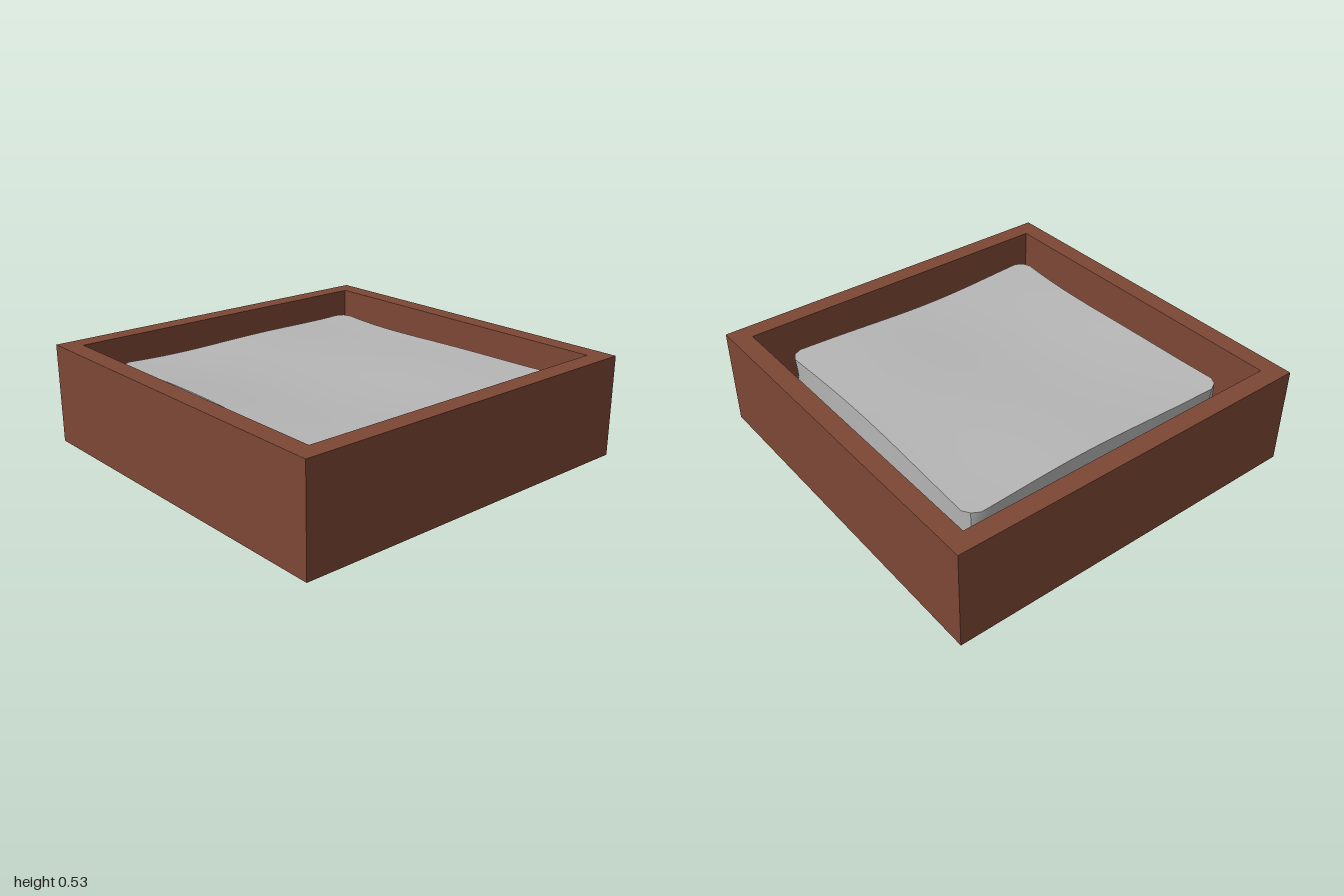
import * as THREE from 'three';

const wood = new THREE.MeshStandardMaterial({ color: 0x7d4735 });
wood.name = 'brown wood';
const cloth = new THREE.MeshStandardMaterial({ color: 0xb6b6b6 });
cloth.name = 'grey cloth';

const HEIGHT = 0.53, INNER = 0.9, FLOOR = 0.1;
const CUSHION = 0.75, CUSHION_TOP = 0.43;

function square(half, Type) {
  return new Type([[-1, -1], [1, -1], [1, 1], [-1, 1]].map(
    ([x, y]) => new THREE.Vector2(x * half, y * half)));
}

// Square frame with an opening, standing on the ground
function makeWalls() {
  const shape = square(1, THREE.Shape);
  shape.holes.push(square(INNER, THREE.Path));
  const geometry = new THREE.ExtrudeGeometry(shape, { depth: HEIGHT, bevelEnabled: false });
  geometry.rotateX(-Math.PI / 2);
  return new THREE.Mesh(geometry, wood);
}

// Soft square pad: corners flare outwards and the top ripples gently
function makeCushion() {
  const depth = CUSHION_TOP - FLOOR;
  const geometry = new THREE.BoxGeometry(2 * CUSHION, depth, 2 * CUSHION, 24, 4, 24);
  geometry.translate(0, FLOOR + depth / 2, 0);
  const p = geometry.attributes.position;
  for (let i = 0; i < p.count; i++) {
    const x = p.getX(i), y = p.getY(i), z = p.getZ(i);
    const u = x / CUSHION, v = z / CUSHION;
    const t = (y - FLOOR) / depth;
    const ripple = 0.012 * (u * u + v * v) - 0.012
      + 0.008 * Math.sin(3.2 * v + 0.8 * u) * u + 0.006 * Math.sin(4 * u - v);
    const corner = Math.abs(u) > 0.99 && Math.abs(v) > 0.99 ? 0.025 : 0;
    const flareX = (0.003 + 0.024 * v * v - corner) * t;
    const flareZ = (0.003 + 0.022 * u * u - corner) * t;
    p.setXYZ(i, x + u * flareX, y + ripple * t, z + v * flareZ);
  }
  geometry.computeVertexNormals();
  return new THREE.Mesh(geometry, cloth);
}

export function createModel() {
  const model = new THREE.Group();
  model.name = 'cushionedTray';

  const walls = makeWalls();
  walls.name = 'trayWalls';

  const floor = new THREE.Mesh(new THREE.BoxGeometry(2 * INNER, FLOOR, 2 * INNER), wood);
  floor.position.y = FLOOR / 2;
  floor.name = 'trayFloor';

  const cushion = makeCushion();
  cushion.name = 'cushion';

  model.add(walls, floor, cushion);
  return model;
}
